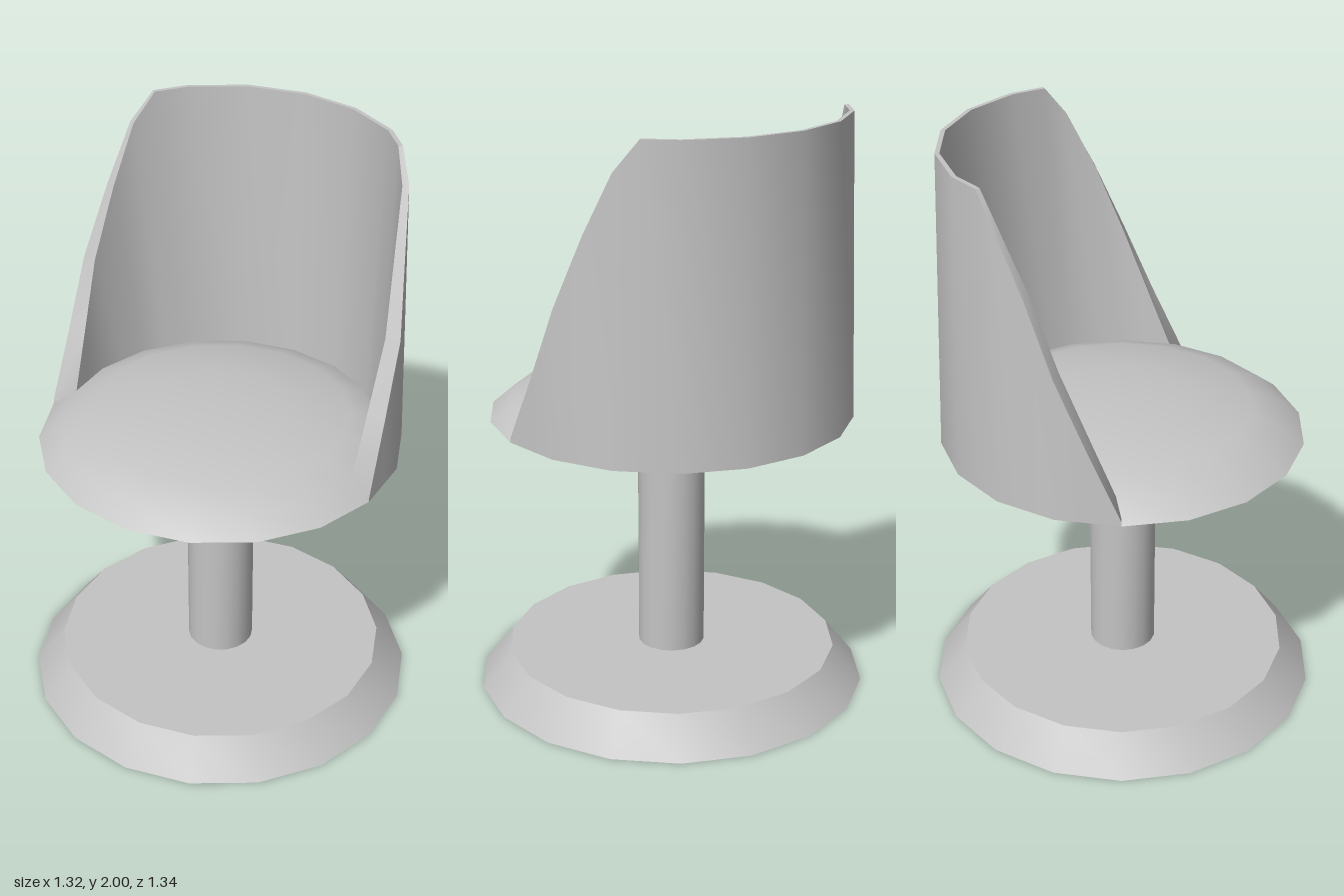
import * as THREE from 'three';
import { toCreasedNormals } from 'three/addons/utils/BufferGeometryUtils.js';

const SIDES = 18;
const STEP = 20; // degrees per side

export function createModel() {
  const group = new THREE.Group();
  const grey = new THREE.MeshStandardMaterial({ color: 0xc4c4c4 });
  grey.name = 'plain grey';

  const add = (name, geometry, crease) => {
    const mesh = new THREE.Mesh(toCreasedNormals(geometry, crease), grey);
    mesh.name = name;
    group.add(mesh);
  };
  const lathe = (points) =>
    new THREE.LatheGeometry(points.map(([r, y]) => new THREE.Vector2(r, y)), SIDES);

  // Bevelled foot, pedestal column and domed seat cushion
  add('base', lathe([[0, 0], [0.67, 0], [0.57, 0.125], [0, 0.125]]), 0.6);
  add('column', new THREE.CylinderGeometry(0.115, 0.115, 0.84, SIDES, 1, true).translate(0, 0.535, 0), 0.6);
  add('seat', lathe([
    [0, 0.935], [0.615, 0.975], [0.545, 1.03], [0.44, 1.07], [0.23, 1.098], [0, 1.107],
  ]), 0.6);

  // Backrest: a wall that tapers upwards, its rim sloping down to the seat on both sides
  const half = [[0, 2], [20, 2], [40, 2], [52, 2], [60, 1.9], [70, 1.7], [80, 1.46], [90, 1.22], [100, 0.99]];
  const rim = [...half.slice(1).reverse().map(([a, h]) => [-a, h]), ...half];
  const bottom = 0.975;
  const point = (deg, r, y) => {
    // keep in-between points on the flat sides of the polygon
    const off = (Math.abs(deg) % STEP) - STEP / 2;
    const flat = Math.cos(THREE.MathUtils.degToRad(STEP / 2)) / Math.cos(THREE.MathUtils.degToRad(off));
    const a = THREE.MathUtils.degToRad(deg);
    return [r * flat * Math.sin(a), y, -r * flat * Math.cos(a)];
  };
  const positions = [];
  const index = [];
  rim.forEach(([deg, h], i) => {
    const t = (h - bottom) / (2 - bottom);
    positions.push(
      ...point(deg, 0.615, bottom),
      ...point(deg, 0.615 - 0.03 * t, h),
      ...point(deg, 0.535 + 0.035 * t, h),
      ...point(deg, 0.535, bottom),
    );
    if (i === rim.length - 1) return;
    for (let j = 0; j < 4; j++) {
      const k = (j + 1) % 4;
      const a = i * 4 + j, b = i * 4 + k, c = a + 4, d = b + 4;
      index.push(a, b, d, a, d, c);
    }
  });
  // close both front tips
  const e = (rim.length - 1) * 4;
  index.push(0, 3, 2, 0, 2, 1, e, e + 1, e + 2, e, e + 2, e + 3);
  const shell = new THREE.BufferGeometry();
  shell.setAttribute('position', new THREE.Float32BufferAttribute(positions, 3));
  shell.setIndex(index);
  add('backrest', shell, 0.6);

  return group;
}
